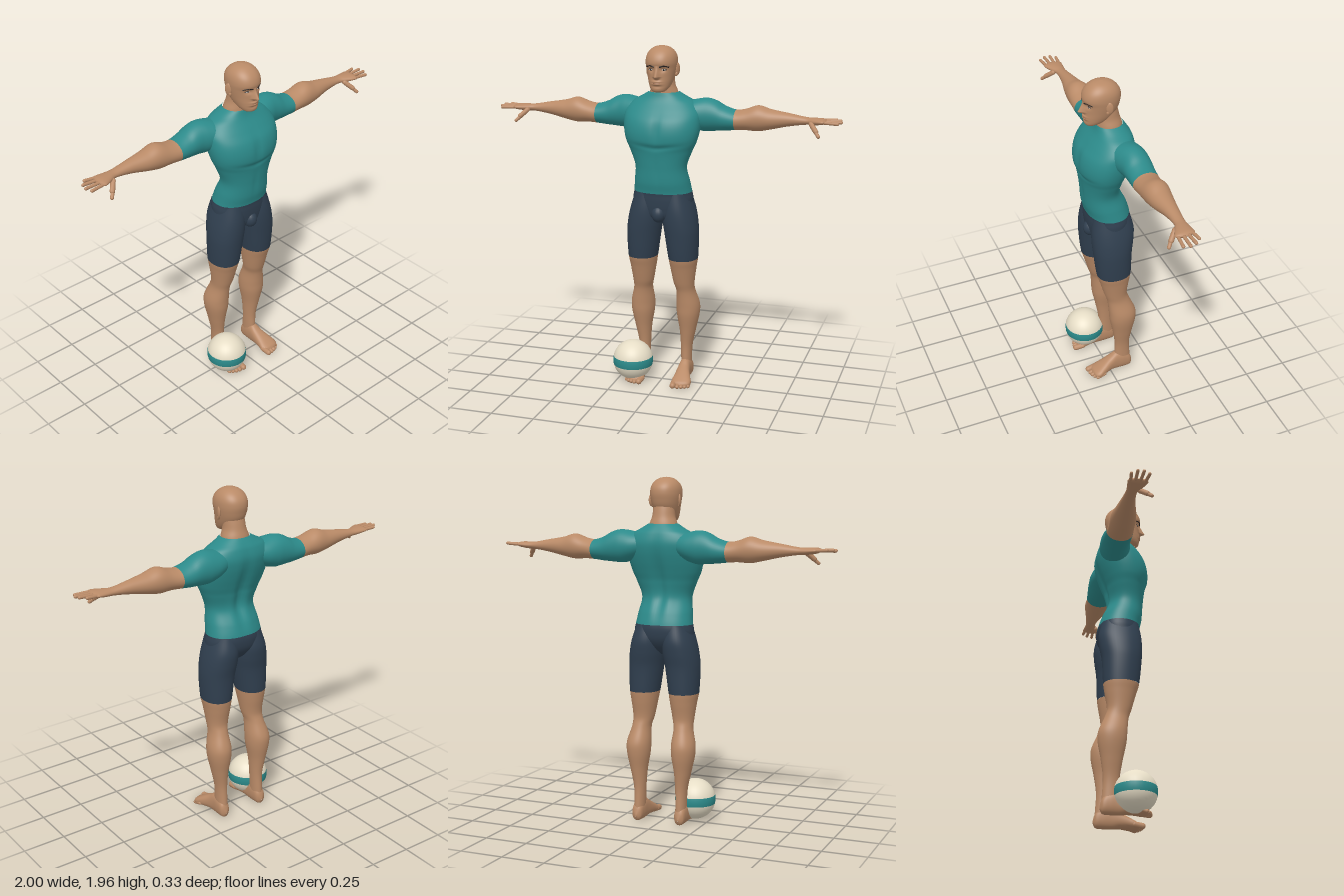
import * as THREE from 'three';
import { mergeGeometries } from 'three/addons/utils/BufferGeometryUtils.js';

const mat = (name, color) => Object.assign(new THREE.MeshStandardMaterial({ color }), { name });
const gauss = (v, c, w) => Math.exp(-(((v - c) / w) ** 2));

// Smooth interpolation of a table of keys at position s
function sample(keys, s) {
  let i = 0;
  while (i < keys.length - 2 && s > keys[i + 1][0]) i++;
  const at = (k) => keys[Math.min(Math.max(k, 0), keys.length - 1)];
  const [p, a, b, n] = [at(i - 1), at(i), at(i + 1), at(i + 2)];
  const h = b[0] - a[0], t = (s - a[0]) / h;
  return a.slice(1).map((v, k) => {
    const w = b[k + 1];
    const m0 = (w - p[k + 1]) / (b[0] - p[0]) * h, m1 = (n[k + 1] - v) / (n[0] - a[0]) * h;
    return v * (2 * t ** 3 - 3 * t * t + 1) + m0 * (t ** 3 - 2 * t * t + t)
      + w * (3 * t * t - 2 * t ** 3) + m1 * (t ** 3 - t * t);
  });
}

// Skin through oval sections. Keys hold [s, uMin, uMax, vMin, vMax]:
// axis y: s=y u=x v=z; axis x: s=x u=z v=y; axis z: s=z u=y v=x
function loft(axis, keys, from, to, rings, seg = 40, pow = 2, deform = null) {
  const pos = [], idx = [];
  const curve = (c) => Math.sign(c) * Math.abs(c) ** (2 / pow);
  for (let i = 0; i <= rings; i++) {
    const s = from + (to - from) * i / rings;
    const [u0, u1, v0, v1] = sample(keys, s);
    for (let j = 0; j < seg; j++) {
      const a = j / seg * Math.PI * 2;
      const u = (u0 + u1) / 2 + (u1 - u0) / 2 * curve(Math.cos(a));
      const v = (v0 + v1) / 2 + (v1 - v0) / 2 * curve(Math.sin(a));
      const p = axis === 'y' ? [u, s, v] : axis === 'x' ? [s, v, u] : [v, u, s];
      if (deform) p[2] += deform(p[0], p[1], Math.sin(a));
      pos.push(...p);
      if (i < rings) {
        const k = i * seg + j, m = i * seg + (j + 1) % seg;
        idx.push(k, k + seg, m, k + seg, m + seg, m);
      }
    }
  }
  const g = new THREE.BufferGeometry();
  g.setAttribute('position', new THREE.Float32BufferAttribute(pos, 3));
  g.setIndex(idx);
  g.computeVertexNormals();
  return g;
}

// Rounded digit between two points
function digit(a, b, r) {
  const p = new THREE.Vector3(...a), q = new THREE.Vector3(...b), d = q.clone().sub(p);
  const g = new THREE.CapsuleGeometry(r, d.length(), 5, 12);
  g.applyQuaternion(new THREE.Quaternion().setFromUnitVectors(new THREE.Vector3(0, 1, 0), d.normalize()));
  return g.translate(...p.add(q).multiplyScalar(0.5).toArray());
}

function ellipsoid(x, y, z, rx, ry, rz, turn = 0) {
  return new THREE.SphereGeometry(1, 20, 14).scale(rx, ry, rz).rotateY(turn).translate(x, y, z);
}

// Mirror image across x = 0 with the winding kept outward
function mirrored(g) {
  const m = g.clone().scale(-1, 1, 1), ix = m.index.array;
  for (let i = 0; i < ix.length; i += 3) [ix[i], ix[i + 1]] = [ix[i + 1], ix[i]];
  m.computeVertexNormals();
  return m;
}

const TORSO = [
  [0.97, -0.03, 0.03, -0.06, 0.05], [1.0, -0.1, 0.1, -0.1, 0.08], [1.05, -0.165, 0.165, -0.135, 0.09],
  [1.1, -0.173, 0.173, -0.147, 0.094], [1.14, -0.166, 0.166, -0.145, 0.095], [1.2, -0.158, 0.158, -0.125, 0.108],
  [1.29, -0.147, 0.147, -0.085, 0.115], [1.38, -0.178, 0.178, -0.1, 0.125], [1.43, -0.2, 0.2, -0.118, 0.14],
  [1.49, -0.215, 0.215, -0.14, 0.142], [1.55, -0.22, 0.22, -0.157, 0.126], [1.6, -0.215, 0.215, -0.162, 0.092],
  [1.65, -0.175, 0.175, -0.15, 0.055], [1.675, -0.128, 0.128, -0.135, 0.042], [1.702, -0.083, 0.083, -0.114, 0.034]];
const NECK = [
  [1.66, -0.085, 0.085, -0.115, 0.03], [1.7, -0.08, 0.08, -0.111, 0.031], [1.74, -0.066, 0.066, -0.099, 0.03],
  [1.78, -0.062, 0.062, -0.09, 0.03], [1.82, -0.06, 0.06, -0.08, 0.03]];
const HEAD = [
  [1.708, -0.004, 0.004, 0.06, 0.075], [1.714, -0.032, 0.032, 0.03, 0.092], [1.73, -0.05, 0.05, -0.015, 0.1],
  [1.76, -0.064, 0.064, -0.06, 0.102], [1.8, -0.075, 0.075, -0.088, 0.1], [1.84, -0.083, 0.083, -0.1, 0.102],
  [1.87, -0.086, 0.086, -0.104, 0.109], [1.9, -0.083, 0.083, -0.099, 0.102], [1.925, -0.072, 0.072, -0.083, 0.085],
  [1.945, -0.052, 0.052, -0.058, 0.06], [1.956, -0.028, 0.028, -0.03, 0.034], [1.96, -0.001, 0.001, -0.001, 0.003]];
const ARM = [
  [0.08, -0.13, -0.02, 1.54, 1.64], [0.16, -0.158, 0.02, 1.5, 1.657], [0.22, -0.164, 0.01, 1.483, 1.668],
  [0.26, -0.163, 0, 1.484, 1.666], [0.3, -0.162, -0.003, 1.487, 1.652], [0.34, -0.16, -0.005, 1.49, 1.629],
  [0.405, -0.155, -0.005, 1.497, 1.61], [0.46, -0.15, -0.007, 1.5, 1.618], [0.53, -0.15, -0.01, 1.497, 1.64],
  [0.6, -0.14, -0.02, 1.51, 1.622], [0.7, -0.122, -0.042, 1.532, 1.605], [0.8, -0.11, -0.05, 1.547, 1.588],
  [0.84, -0.112, -0.032, 1.548, 1.588], [0.88, -0.115, -0.012, 1.553, 1.588], [0.905, -0.11, -0.012, 1.56, 1.584],
  [0.915, -0.065, -0.06, 1.572, 1.574]];
const LEG = [
  [0.03, 0.1, 0.16, -0.135, -0.045], [0.1, 0.098, 0.158, -0.13, -0.035], [0.2, 0.095, 0.162, -0.125, -0.035],
  [0.3, 0.088, 0.182, -0.137, -0.02], [0.4, 0.072, 0.203, -0.155, 0], [0.46, 0.07, 0.204, -0.154, 0.005],
  [0.55, 0.075, 0.182, -0.118, 0.014], [0.6, 0.063, 0.182, -0.104, 0.03], [0.7, 0.045, 0.195, -0.118, 0.058],
  [0.75, 0.037, 0.203, -0.125, 0.073], [0.9, 0.015, 0.208, -0.132, 0.09], [0.98, 0.003, 0.2, -0.145, 0.095],
  [1.05, 0.002, 0.184, -0.15, 0.093], [1.14, 0.012, 0.155, -0.13, 0.08]];
const FOOT = [
  [-0.142, 0.03, 0.04, 0.127, 0.133], [-0.13, 0.006, 0.085, 0.105, 0.156], [-0.09, 0, 0.12, 0.097, 0.163],
  [-0.04, 0, 0.125, 0.095, 0.163], [0, 0.005, 0.102, 0.092, 0.17], [0.05, 0.003, 0.075, 0.088, 0.188],
  [0.09, 0, 0.052, 0.085, 0.197], [0.115, 0.008, 0.035, 0.1, 0.175], [0.12, 0.02, 0.022, 0.135, 0.14]];

export function createModel() {
  const root = new THREE.Group();
  const skin = mat('skin', 0xb98a67), shirt = mat('teal', 0x2c8a8a), shorts = mat('navy', 0x303f4f);
  const cream = mat('cream', 0xe6ddc6), dark = mat('dark brown', 0x2b2422), white = mat('eye white', 0xd8d4cc);
  const lip = mat('lip', 0x8a5c48);
  const add = (name, g, m) => {
    const mesh = new THREE.Mesh(g, m);
    mesh.name = name;
    root.add(mesh);
  };
  const pair = (name, g, m) => {
    add(name + 'Left', g, m);
    add(name + 'Right', mirrored(g), m);
  };

  // Torso with breastbone, chest crease, belly muscles and spine groove
  const muscles = (x, y, f) => f > 0
    ? f * (-0.01 * gauss(x, 0, 0.02) * gauss(y, 1.5, 0.07)
      - 0.008 * gauss(y, 1.405 + Math.abs(x) * 0.12, 0.014) * gauss(x, 0, 0.16)
      - 0.004 * gauss(x, 0, 0.012) * gauss(y, 1.28, 0.08))
    : -f * (0.022 * gauss(x, 0, 0.03) * gauss(y, 1.4, 0.17)
      - 0.006 * gauss(Math.abs(x), 0.05, 0.03) * gauss(y, 1.28, 0.1));
  add('shirt', loft('y', TORSO, 1.14, 1.702, 70, 72, 2.2, muscles), shirt);
  add('shortsHips', loft('y', TORSO, 0.97, 1.14, 20, 72, 2.2, muscles), shorts);
  add('shortsFront', ellipsoid(0, 1.02, 0.065, 0.04, 0.05, 0.045), shorts);

  // Arms and hands
  pair('sleeve', loft('x', ARM, 0.08, 0.405, 30), shirt);
  pair('arm', loft('x', ARM, 0.405, 0.915, 50), skin);
  const fingers = [[0.957, 1.576, -0.107, -0.1], [0.985, 1.576, -0.078, -0.076],
    [0.991, 1.572, -0.046, -0.05], [0.976, 1.568, -0.014, -0.024]];
  pair('fingers', mergeGeometries([
    ...fingers.map(([x, y, z, base]) => digit([0.885, 1.571, base], [x, y, z], 0.009)),
    digit([0.83, 1.557, -0.04], [0.862, 1.523, -0.005], 0.014),
    digit([0.855, 1.528, -0.01], [0.88, 1.5, 0.014], 0.01)]), skin);

  // Legs, feet and toes
  pair('shortsLeg', loft('y', LEG, 0.75, 1.14, 30, 40, 2.15), shorts);
  pair('leg', loft('y', LEG, 0.03, 0.75, 60, 40, 2.1), skin);
  pair('foot', loft('z', FOOT, -0.142, 0.12, 40, 32, 2.3), skin);
  const toes = [[0.103, 0.129, 0.017], [0.13, 0.128, 0.012], [0.151, 0.122, 0.012], [0.17, 0.113, 0.011], [0.187, 0.1, 0.011]];
  pair('toes', mergeGeometries(toes.map(([x, z, r]) => digit([x - 0.004, 0.025, z - 0.045], [x, r + 0.002, z], r))), skin);

  // Neck and head with nose, eye sockets, lips and chin pushed out of the face
  add('neck', loft('y', NECK, 1.66, 1.82, 20), skin);
  const face = (x, y, f) => {
    if (f <= 0) return 0;
    const ridge = y > 1.797 ? Math.max(0, 1 - (y - 1.797) / 0.06) : Math.max(0, 1 - (1.797 - y) / 0.017);
    return f * (0.036 * ridge * gauss(x, 0, 0.009 + 0.006 * ridge)
      - 0.01 * gauss(Math.abs(x), 0.034, 0.018) * gauss(y, 1.836, 0.014)
      + 0.007 * gauss(x, 0, 0.026) * (gauss(y, 1.77, 0.006) + gauss(y, 1.757, 0.006))
      - 0.004 * gauss(x, 0, 0.03) * gauss(y, 1.743, 0.008));
  };
  add('head', loft('y', HEAD, 1.708, 1.96, 110, 110, 2.15, face), skin);
  pair('ear', mergeGeometries([ellipsoid(0.086, 1.832, -0.012, 0.008, 0.034, 0.02, -0.35),
    ellipsoid(0.082, 1.806, -0.004, 0.008, 0.014, 0.01)]), skin);
  pair('eyeRim', ellipsoid(0.036, 1.836, 0.076, 0.02, 0.009, 0.012, 0.35), dark);
  pair('eyeWhite', ellipsoid(0.036, 1.835, 0.079, 0.015, 0.005, 0.011, 0.35), white);
  pair('iris', ellipsoid(0.036, 1.835, 0.086, 0.005, 0.005, 0.005), dark);
  const brow = new THREE.CatmullRomCurve3([[0.014, 1.85, 0.102], [0.036, 1.858, 0.095], [0.062, 1.85, 0.073]]
    .map((p) => new THREE.Vector3(...p)));
  pair('brow', new THREE.TubeGeometry(brow, 16, 0.0045, 8), dark);
  add('mouth', ellipsoid(0, 1.7635, 0.1, 0.022, 0.0025, 0.007), lip);

  // Ball resting over the right foot: two caps and a stripe
  const edge = 1.355;
  const bands = [['ballTop', 0, edge, cream], ['ballStripe', edge, Math.PI - 2 * edge, shirt],
    ['ballBottom', Math.PI - edge, edge, cream]];
  for (const [name, start, length, m] of bands) {
    add(name, new THREE.SphereGeometry(0.117, 32, length < 1 ? 4 : 12, 0, Math.PI * 2, start, length)
      .translate(-0.163, 0.122, 0.047), m);
  }
  return root;
}
